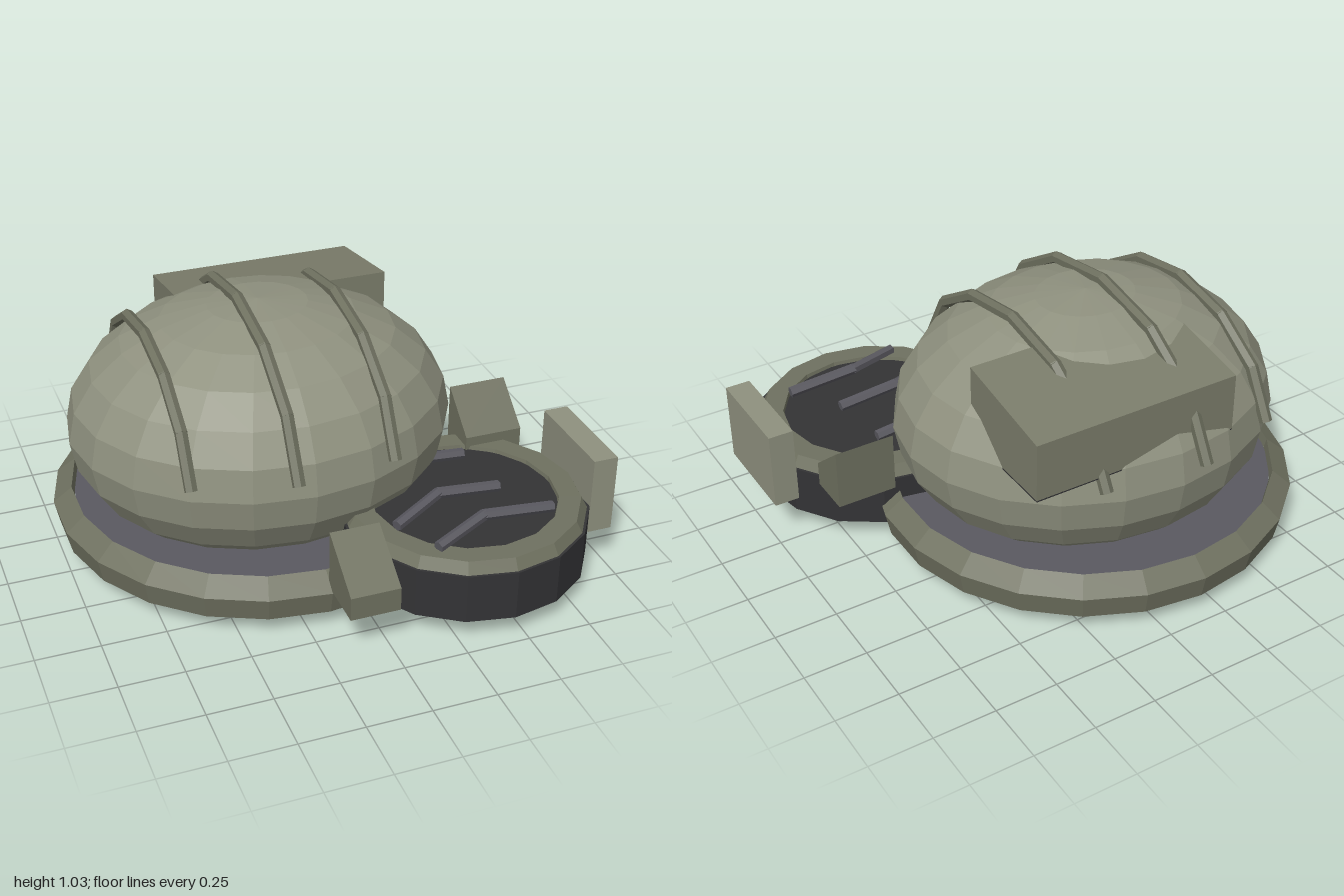
import * as THREE from 'three';

const mat = (name, color) => {
  const m = new THREE.MeshStandardMaterial({ color });
  m.name = name;
  return m;
};

export function createModel() {
  const group = new THREE.Group();
  const light = mat('lightOlive', 0x8f917f);
  const olive = mat('olive', 0x6f7160);
  const dark = mat('charcoal', 0x333335);
  const grey = mat('slateGrey', 0x5a5960);

  // Faceted mesh: every face gets its own normal
  const add = (name, geometry, material, x = 0, y = 0, z = 0, parent = group) => {
    const g = geometry.index ? geometry.toNonIndexed() : geometry;
    g.computeVertexNormals();
    const mesh = new THREE.Mesh(g, material);
    mesh.name = name;
    mesh.position.set(x, y, z);
    parent.add(mesh);
    return mesh;
  };
  const lathe = (points, sides) =>
    new THREE.LatheGeometry(points.map(p => new THREE.Vector2(...p)), sides);

  // Side profile in (z, y), extruded from x0 to x1
  const prism = (points, x0, x1) => {
    const shape = new THREE.Shape(points.map(p => new THREE.Vector2(...p)));
    return new THREE.ExtrudeGeometry(shape, { depth: x1 - x0, bevelEnabled: false })
      .rotateY(-Math.PI / 2).translate(x1, 0, 0);
  };

  // Chain of six-sided bars through a list of points
  const barChain = (name, points, radius, material) => {
    const chain = new THREE.Group();
    chain.name = name;
    for (let i = 0; i < points.length - 1; i++) {
      const a = points[i], b = points[i + 1];
      const dir = b.clone().sub(a);
      const bar = add(name + 'Segment',
        new THREE.CylinderGeometry(radius, radius, dir.length() + 0.012, 6),
        material, 0, 0, 0, chain);
      bar.position.copy(a).add(b).multiplyScalar(0.5);
      bar.quaternion.setFromUnitVectors(new THREE.Vector3(0, 1, 0), dir.normalize());
    }
    group.add(chain);
  };

  // Main dome
  const cx = -0.17, cy = 0.505, cz = -0.13;
  add('dome', new THREE.SphereGeometry(1, 20, 12).scale(0.77, 0.497, 0.68), light, cx, cy, cz);

  // Base ring with its floor and underside
  add('baseRing', lathe([[0.82, 0.085], [0.84, 0.18], [0.765, 0.24], [0.755, 0.2]], 22), olive, cx, 0, cz);
  add('baseFloor', new THREE.CircleGeometry(0.76, 22).rotateX(-Math.PI / 2), grey, cx, 0.205, cz);
  add('baseUnderside', lathe([[0, 0.085], [0.82, 0.085]], 22), dark, cx, 0, cz);

  // Ribs arching over the dome from front to back
  for (const x of [-0.62, -0.25, 0.15]) {
    const f = Math.sqrt(1 - ((x - cx) / 0.77) ** 2);
    const points = [];
    for (let i = 0; i <= 6; i++) {
      const t = THREE.MathUtils.degToRad(9 + i * 27);
      points.push(new THREE.Vector3(x,
        cy + (0.497 * f + 0.018) * Math.sin(t),
        cz + (0.68 * f + 0.03) * Math.cos(t)));
    }
    barChain('domeRib', points, 0.025, olive);
  }

  // Rear box with a sloping roof and dark underside
  add('rearBox', prism([[-0.75, 0.632], [-0.3, 0.632], [-0.3, 0.94], [-0.75, 0.865]], -0.42, 0.43),
    mat('midOlive', 0x7b7d6b));
  add('rearBoxUnderside', new THREE.BoxGeometry(0.85, 0.006, 0.45), dark, 0.005, 0.63, -0.525);

  // Small round platform at the front corner
  const px = 0.45, pz = 0.49;
  add('platformBody', lathe([[0, 0.1], [0.485, 0.1], [0.485, 0.3], [0.36, 0.3]], 16), dark, px, 0, pz);
  add('platformRim', lathe([[0.475, 0.3], [0.45, 0.345], [0.365, 0.345], [0.36, 0.32]], 16), olive, px, 0, pz);
  add('platformFloor', new THREE.CircleGeometry(0.365, 16).rotateX(-Math.PI / 2).rotateY(Math.PI / 16),
    dark, px, 0.33, pz);

  // Bent bars lying across the platform
  const bent = [
    [[0.12, 0.62], [0.33, 0.51], [0.58, 0.51]],
    [[0.21, 0.8], [0.43, 0.705], [0.71, 0.71]],
    [[0.08, 0.36], [0.3, 0.25], [0.55, 0.245]],
  ];
  for (const path of bent) {
    const heights = [0.36, 0.388, 0.366];
    barChain('platformBar', path.map(([x, z], i) => new THREE.Vector3(x, heights[i], z)), 0.022, grey);
  }

  // Blocks around the platform
  add('frontWedge', prism([[0.67, 0.185], [0.89, 0.185], [0.89, 0.28], [0.67, 0.425]], -0.17, 0.025), olive);
  add('sideWedge', prism([[0, 0.285], [0.175, 0.285], [0.175, 0.385], [0, 0.53]], 0.605, 0.845), olive);
  add('sidePlate', new THREE.BoxGeometry(0.1, 0.32, 0.415), light, 0.95, 0.343, 0.47);

  return group;
}
